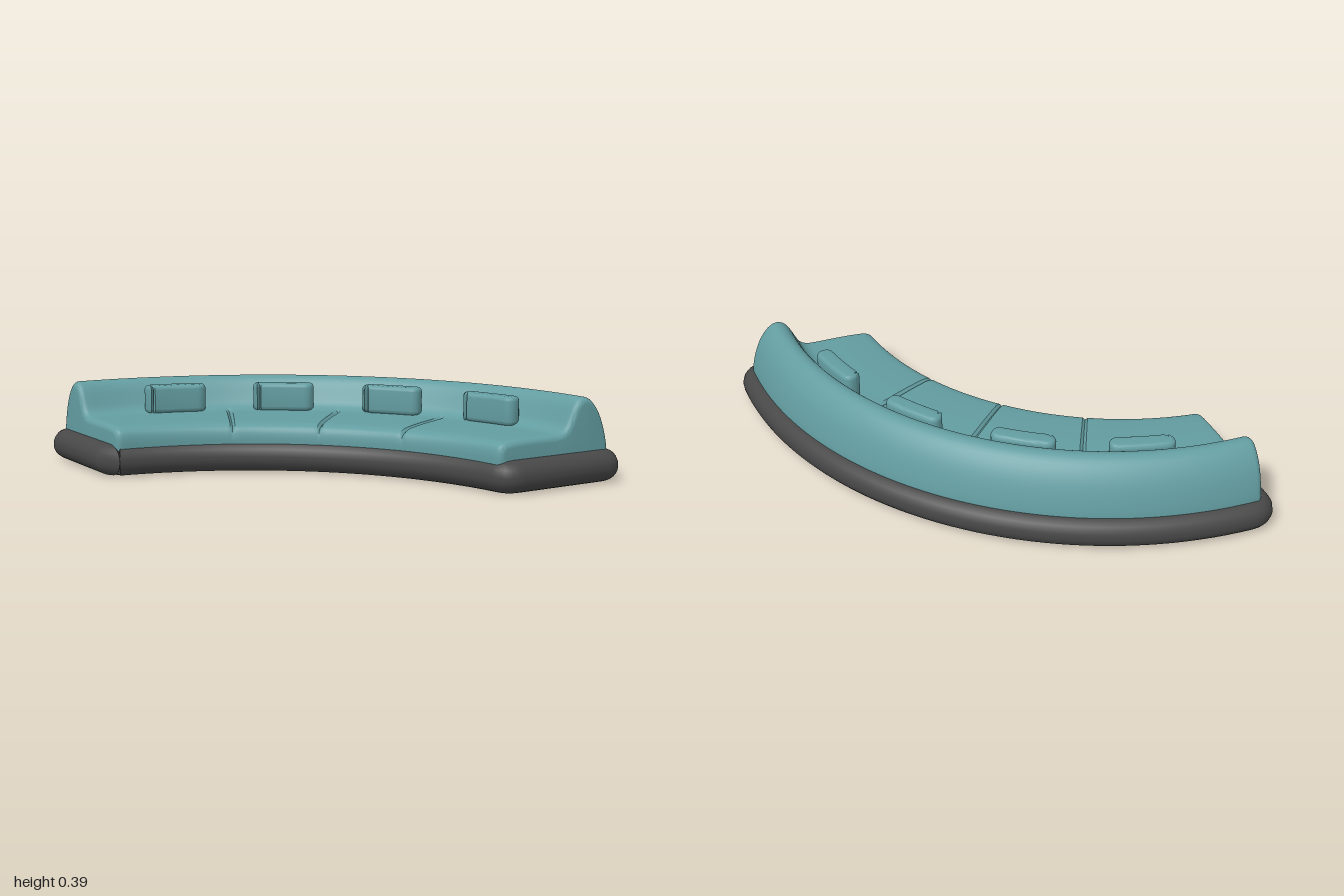
import * as THREE from 'three';
import { toCreasedNormals } from 'three/addons/utils/BufferGeometryUtils.js';

const END = -0.93; // end plane of the upholstery (x = END and z = -END)

// Points along an arc around (-c, c) in plan, as [x, -z]
function arc(c, r, a0, a1, n) {
  return Array.from({ length: n + 1 }, (_, i) => {
    const a = a0 + (a1 - a0) * i / n;
    return new THREE.Vector2(-c + r * Math.sin(a), -c + r * Math.cos(a));
  });
}

// Same arc, running from the left end plane to the right one
function fullArc(c, r, n) {
  const a = Math.asin((c + END) / r);
  return arc(c, r, a, Math.PI / 2 - a, n);
}

// Closed curved band between two arcs, with rounded corners
function bandShape(outer, inner, k) {
  const s = new THREE.Shape();
  const n = outer.length - 1;
  const step = (a, b) => b.clone().sub(a).setLength(k).add(a);
  const corner = (c, p) => s.quadraticCurveTo(c.x, c.y, p.x, p.y);
  s.moveTo(outer[1].x, outer[1].y);
  for (let i = 2; i < n; i++) s.lineTo(outer[i].x, outer[i].y);
  corner(outer[n], step(outer[n], inner[n]));
  const p = step(inner[n], outer[n]);
  s.lineTo(p.x, p.y);
  corner(inner[n], inner[n - 1]);
  for (let i = n - 2; i > 0; i--) s.lineTo(inner[i].x, inner[i].y);
  const q = step(inner[0], outer[0]);
  s.lineTo(q.x, q.y);
  corner(inner[0], step(outer[0], inner[0]).lerp(inner[0], 0) && inner[0].clone().lerp(q, 1));
  return s;
}

// Band extruded upward with rounded top and bottom edges
function softBand(outer, inner, k, y0, y1, bevel) {
  const shape = bandShape(outer, inner, k);
  // round the last corner back to the start
  const o = outer[0], i0 = inner[0];
  const p = i0.clone().sub(o).setLength(k).add(o);
  shape.lineTo(p.x, p.y);
  shape.quadraticCurveTo(o.x, o.y, outer[1].x, outer[1].y);
  const g = new THREE.ExtrudeGeometry(shape, {
    depth: y1 - y0 - 2 * bevel, bevelEnabled: true, bevelSize: bevel,
    bevelThickness: bevel, bevelSegments: 6, curveSegments: 5,
  });
  g.rotateX(-Math.PI / 2).translate(0, y0 + bevel, 0);
  return toCreasedNormals(g, 0.7);
}

// Seat and backrest: one cross-section swept around the curve
function upholstery() {
  const FLOOR = 0.12, ROUND = 0.03;
  const profile = new THREE.CatmullRomCurve3([
    [0.31, FLOOR], [0.31, 0.17], [0.32, 0.205], [0.345, 0.222], [0.4, 0.229], [0.5, 0.232],
    [0.6, 0.232], [0.655, 0.236], [0.69, 0.256], [0.715, 0.3], [0.74, 0.35], [0.765, 0.38],
    [0.8, 0.39], [0.835, 0.376], [0.87, 0.34], [0.9, 0.29], [0.925, 0.22], [0.94, 0.15], [0.94, FLOOR],
  ].map(([w, y]) => new THREE.Vector3(w, y, 0)), false, 'centripetal');
  const M = 54;
  const section = Array.from({ length: M + 1 }, (_, j) => ({
    p: profile.getPoint(j / M), t: profile.getTangent(j / M),
  }));

  // Rings: flat end, rounded rim, sweep with seams, rounded rim, flat end
  const seams = [0.28, 0.5, 0.72], GAP = 0.006;
  const rim = [{ t: 0, end: END, inset: ROUND, flat: true }];
  for (let k = 0; k < 6; k++) {
    const f = k / 6 * Math.PI / 2;
    rim.push({ t: 0, end: END + ROUND * (1 - Math.cos(f)), inset: ROUND * (1 - Math.sin(f)) });
  }
  const ts = new Set(Array.from({ length: 61 }, (_, i) => i / 60));
  seams.forEach(s => [s - GAP, s, s + GAP].forEach(t => ts.add(t)));
  const rings = [
    ...rim,
    ...[...ts].sort((a, b) => a - b).map(t => ({ t, end: END + ROUND, inset: 0 })),
    ...rim.map(r => ({ ...r, t: 1 })).reverse(),
  ];

  const pos = [], index = [];
  rings.forEach(({ t, end, inset, flat }, i) => {
    const groove = 0.012 * Math.max(0, ...seams.map(s => 1 - Math.abs(t - s) / GAP));
    section.forEach(({ p, t: tan }, j) => {
      const w = p.x + tan.y * inset;
      let y = flat ? FLOOR : Math.max(FLOOR, p.y - tan.x * inset);
      if (w < 0.66 && y > 0.15) y -= groove;
      const c = 0.9 + 0.2 * Math.max(0, (0.62 - w) / 0.34);
      const r = Math.hypot(c + END, c + w);
      const a0 = Math.asin((c + end) / r);
      const a = a0 + (Math.PI / 2 - 2 * a0) * t;
      pos.push(-c + r * Math.sin(a), y, c - r * Math.cos(a));
      if (i < rings.length - 1 && j < M) {
        const A = i * (M + 1) + j, B = A + M + 1;
        index.push(A, B, A + 1, B, B + 1, A + 1);
      }
    });
  });
  const g = new THREE.BufferGeometry();
  g.setAttribute('position', new THREE.Float32BufferAttribute(pos, 3));
  g.setIndex(index);
  return toCreasedNormals(g, 0.7);
}

export function createModel() {
  const group = new THREE.Group();
  group.name = 'curvedSofa';
  const fabric = new THREE.MeshStandardMaterial({ color: 0x639da1 });
  fabric.name = 'teal fabric';
  const dark = new THREE.MeshStandardMaterial({ color: 0x484848 });
  dark.name = 'dark grey base';
  const add = (name, geometry, material) => {
    const mesh = new THREE.Mesh(geometry, material);
    mesh.name = name;
    group.add(mesh);
  };

  // Rounded plinth
  add('base', softBand(fullArc(0.9, 1.83, 48), fullArc(1.1, 1.464, 48), 0.05, 0, 0.145, 0.07), dark);

  add('seatAndBackrest', upholstery(), fabric);

  // Four curved back cushions
  [15.5, 35, 55, 74.5].forEach((deg, i) => {
    const a = deg * Math.PI / 180, h = 0.082;
    const side = r => arc(0.9, r, a - h, a + h, 10);
    add('backCushion' + (i + 1), softBand(side(1.592), side(1.548), 0.018, 0.232, 0.367, 0.02), fabric);
  });
  return group;
}
